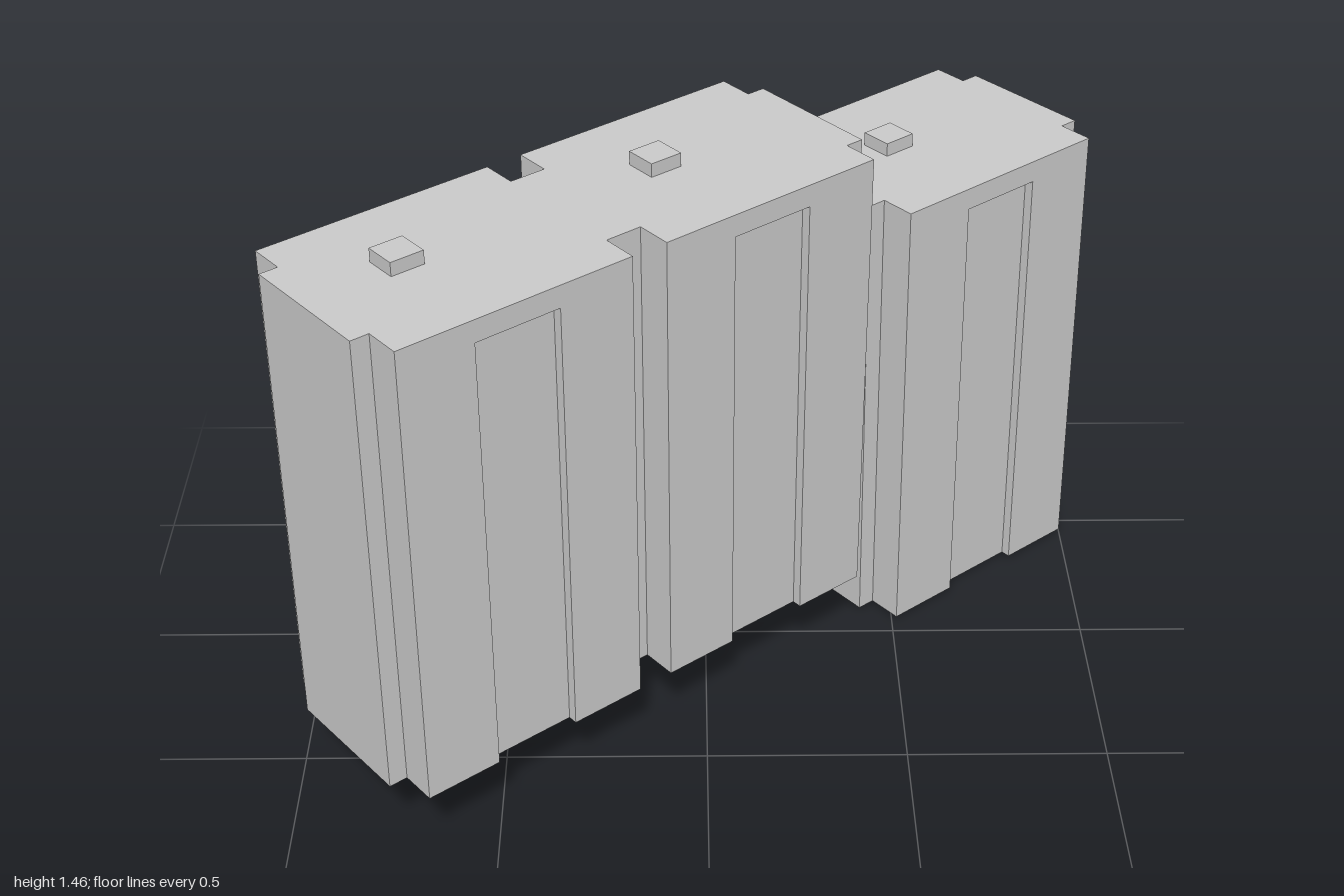
import * as THREE from 'three';

const HALF_LENGTH = 0.313, HALF_DEPTH = 0.275; // main body footprint
const END_OUT = 0.048, END_HALF = 0.181;       // raised panel on each end
const RECESS_HALF = 0.113, RECESS_IN = 0.025;  // shallow bay on each long face
const HEIGHT = 1.222, RECESS_HEIGHT = 1.165;
const HEADING = 0.682;                         // direction of the row

// Footprint of one tower, optionally with the recessed bays
function footprint(withRecess) {
  const half = [[HALF_LENGTH + END_OUT, -END_HALF], [HALF_LENGTH + END_OUT, END_HALF],
    [HALF_LENGTH, END_HALF], [HALF_LENGTH, HALF_DEPTH]];
  if (withRecess) {
    const inner = HALF_DEPTH - RECESS_IN;
    half.push([RECESS_HALF, HALF_DEPTH], [RECESS_HALF, inner], [-RECESS_HALF, inner], [-RECESS_HALF, HALF_DEPTH]);
  }
  half.push([-HALF_LENGTH, HALF_DEPTH], [-HALF_LENGTH, END_HALF]);
  // The other half is the same outline turned by 180 degrees
  const all = [...half, ...half.map(([x, y]) => [-x, -y])];
  return new THREE.Shape(all.map(([x, y]) => new THREE.Vector2(x, y)));
}

function slab(shape, bottom, height) {
  const geometry = new THREE.ExtrudeGeometry(shape, { depth: height, bevelEnabled: false });
  geometry.rotateX(-Math.PI / 2);
  geometry.translate(0, bottom, 0);
  return geometry;
}

export function createModel() {
  const model = new THREE.Group();
  model.name = 'towerBlocks';
  const material = new THREE.MeshStandardMaterial({ color: 0xcccccc, flatShading: true });

  const bodyGeometry = slab(footprint(true), 0, RECESS_HEIGHT);
  const topGeometry = slab(footprint(false), RECESS_HEIGHT, HEIGHT - RECESS_HEIGHT);
  const hutGeometry = new THREE.BoxGeometry(0.088, 0.035, 0.084);
  hutGeometry.translate(-0.102, HEIGHT + 0.0175, -0.03);

  function addTower(name, along, bottom, offset = [0, 0], lean = [0, 0]) {
    const tower = new THREE.Group();
    tower.name = name;
    const parts = { body: bodyGeometry, topStorey: topGeometry, roofHut: hutGeometry };
    for (const [part, geometry] of Object.entries(parts)) {
      const mesh = new THREE.Mesh(geometry, material);
      mesh.name = part;
      tower.add(mesh);
    }
    const across = -0.007;
    const c = Math.cos(HEADING), s = Math.sin(HEADING);
    tower.position.set(along * c + across * s + offset[0], bottom, -along * s + across * c + offset[1]);
    tower.rotation.set(lean[0], HEADING, lean[1], 'XZY');
    model.add(tower);
  }

  // Two joined upright towers, and a lower one that leans slightly
  addTower('endTower', -0.742, 0.202);
  addTower('middleTower', -0.02, 0.202);
  addTower('lowTower', 0.738, 0.008, [0.014, 0.009], [-0.008, 0.012]);

  return model;
}
